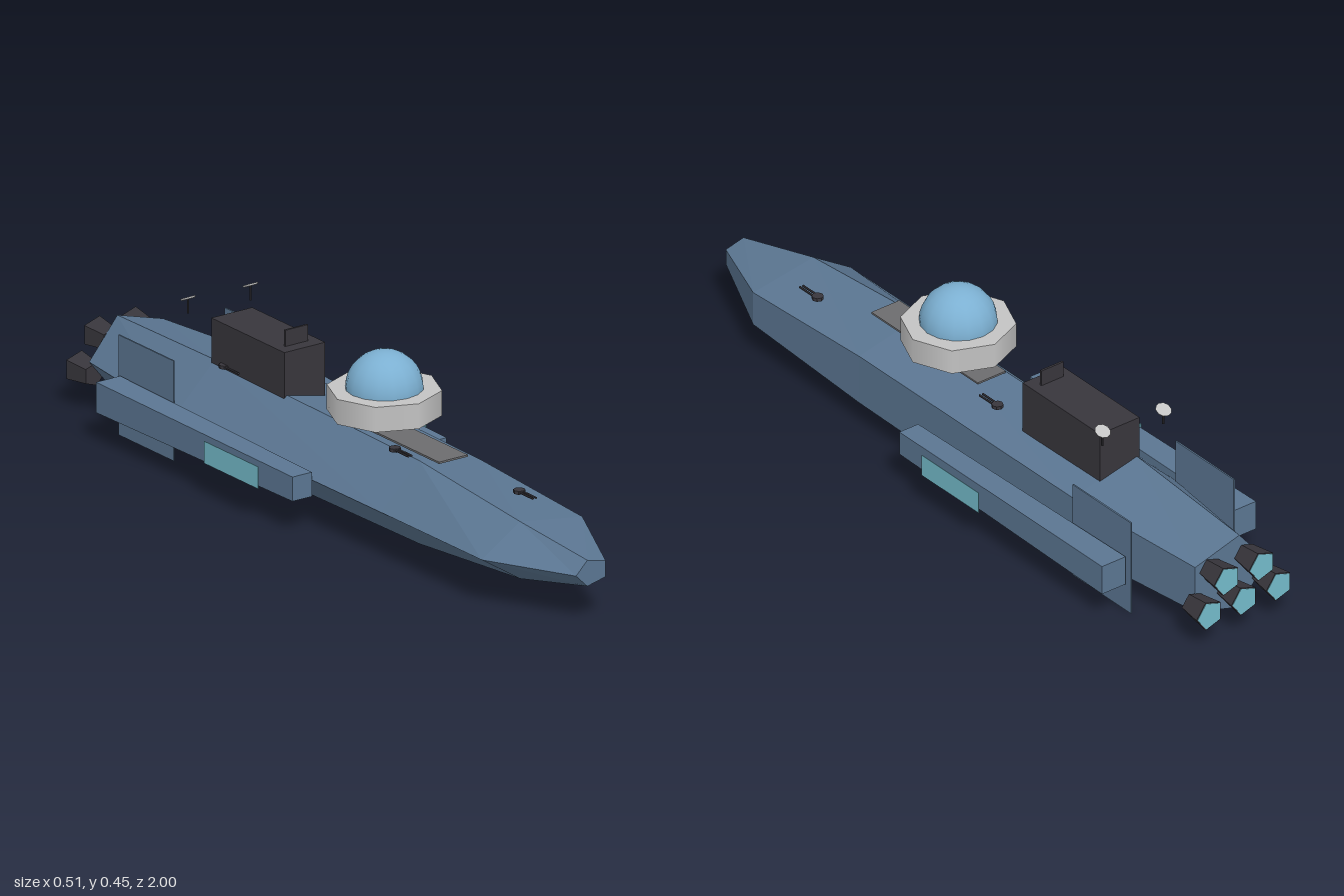
import * as THREE from 'three';

export function createModel() {
  const root = new THREE.Group();
  const mat = (name, color, opts = {}) =>
    Object.assign(new THREE.MeshStandardMaterial({ color, ...opts }), { name });
  const blue = mat('hullBlue', 0x5b7692, { flatShading: true });
  const dark = mat('charcoal', 0x38363c, { flatShading: true });
  const glass = mat('domeBlue', 0x7cb0d2);
  const light = mat('lightGrey', 0xc4c4c4);
  const grey = mat('deckGrey', 0x6c6c6e);
  const teal = mat('glowTeal', 0x74bccb);

  const add = (name, geo, material, x = 0, y = 0, z = 0, parent = root) => {
    const m = new THREE.Mesh(geo, material);
    m.name = name;
    m.position.set(x, y, z);
    parent.add(m);
    return m;
  };
  const box = (name, w, h, d, material, x, y, z, parent) =>
    add(name, new THREE.BoxGeometry(w, h, d), material, x, y, z, parent);

  // Five-sided hull lofted through sections: z, x radius, y radius
  const sections = [
    [1, 0.05, 0.036], [0.77, 0.17, 0.079], [0.35, 0.172, 0.115],
    [-0.5, 0.178, 0.126], [-0.93, 0.125, 0.11],
  ];
  const pos = [], idx = [], N = 5, axisY = 0.13;
  for (const [z, rx, ry] of sections)
    for (let k = 0; k < N; k++) {
      const t = Math.PI + (k * 2 * Math.PI) / N;
      pos.push(Math.cos(t) * rx, axisY + Math.sin(t) * ry, z);
    }
  for (let i = 0; i < sections.length - 1; i++)
    for (let k = 0; k < N; k++) {
      const a = i * N + k, b = i * N + ((k + 1) % N);
      idx.push(a + N, b + N, b, a + N, b, a);
    }
  const last = (sections.length - 1) * N;
  for (let k = 1; k < N - 1; k++) idx.push(0, k, k + 1, last, last + k + 1, last + k);
  const hull = new THREE.BufferGeometry();
  hull.setAttribute('position', new THREE.Float32BufferAttribute(pos, 3));
  hull.setIndex(idx);
  hull.computeVertexNormals();
  add('hull', hull, blue);

  // Side pods (slightly narrower in front), their windows and the tall fins
  for (const s of [1, -1]) {
    const side = s > 0 ? 'left' : 'right';
    const podGeo = new THREE.BoxGeometry(0.074, 0.08, 0.81);
    const p = podGeo.attributes.position;
    for (let i = 0; i < p.count; i++)
      if (p.getZ(i) > 0) p.setXY(i, p.getX(i) * 0.8, p.getY(i) * 0.8);
    podGeo.computeVertexNormals();
    add(side + 'Pod', podGeo, blue, s * 0.206, 0.12, -0.335);
    box(side + 'PodWindow', 0.002, 0.058, 0.225, teal, s * 0.256, 0.12, -0.157);
    box(side + 'Fin', 0.004, 0.263, 0.23, blue, s * 0.162, 0.1315, -0.64);
  }

  // Engine cluster: two above, three below, with glowing ends
  const engines = [[-0.055, 0.173], [0.055, 0.173], [-0.11, 0.094], [0, 0.094], [0.11, 0.094]];
  for (const [x, y] of engines) {
    const e = new THREE.Group();
    e.name = 'engine';
    e.position.set(x, y, -0.964);
    e.rotation.set(-Math.PI / 2, 0, 0);
    root.add(e);
    const turn = Math.PI / 2;
    add('nozzle', new THREE.CylinderGeometry(0.042, 0.032, 0.07, 5).rotateY(turn), dark, 0, 0, 0, e);
    add('nozzleGlow', new THREE.CylinderGeometry(0.039, 0.039, 0.002, 5).rotateY(turn), teal, 0, 0.035, 0, e);
  }

  // Bridge block with a small screen on its front edge
  box('bridgeBlock', 0.125, 0.14, 0.305, dark, 0, 0.29, -0.353);
  box('bridgeScreen', 0.07, 0.045, 0.006, dark, 0, 0.38, -0.237);

  // Observation dome on an octagonal ring, with a deck plate below
  add('domeRing', new THREE.CylinderGeometry(0.144, 0.144, 0.066, 8), light, 0, 0.322, 0.132);
  add('dome', new THREE.SphereGeometry(0.098, 16, 8, 0, Math.PI * 2, 0, Math.PI / 2), glass, 0, 0.354, 0.132);
  box('deckPlate', 0.088, 0.005, 0.42, grey, 0, 0.252, 0.21);

  // Dish aerials
  for (const [x, z] of [[-0.09, -0.565], [0.09, -0.55]]) {
    add('aerialPost', new THREE.CylinderGeometry(0.003, 0.003, 0.04, 6), dark, x, 0.38, z);
    const dish = add('aerialDish', new THREE.CylinderGeometry(0.021, 0.018, 0.005, 10), light, x, 0.4, z);
    dish.rotation.x = -0.45;
  }

  // Twin-barrel turrets on the upper and lower hull
  const turrets = [
    [0.062, 0.212, 0.61, 1], [-0.062, 0.245, 0.26, 1], [0.062, 0.245, -0.1, 1], [-0.062, 0.25, -0.45, 1],
    [0.062, 0.05, 0.45, -1], [0.062, 0.021, -0.26, -1],
  ];
  for (const [x, y, z, up] of turrets) {
    const g = new THREE.Group();
    g.name = up > 0 ? 'upperTurret' : 'lowerTurret';
    g.position.set(x, y, z);
    root.add(g);
    add('turretBase', new THREE.CylinderGeometry(0.015, 0.015, 0.009, 8), dark, 0, up > 0 ? 0 : 0.004, 0, g);
    for (const s of [-1, 1])
      add('barrel', new THREE.CylinderGeometry(0.003, 0.003, 0.06, 6).rotateX(Math.PI / 2), dark, s * 0.005, 0, 0.034, g);
  }
  return root;
}
